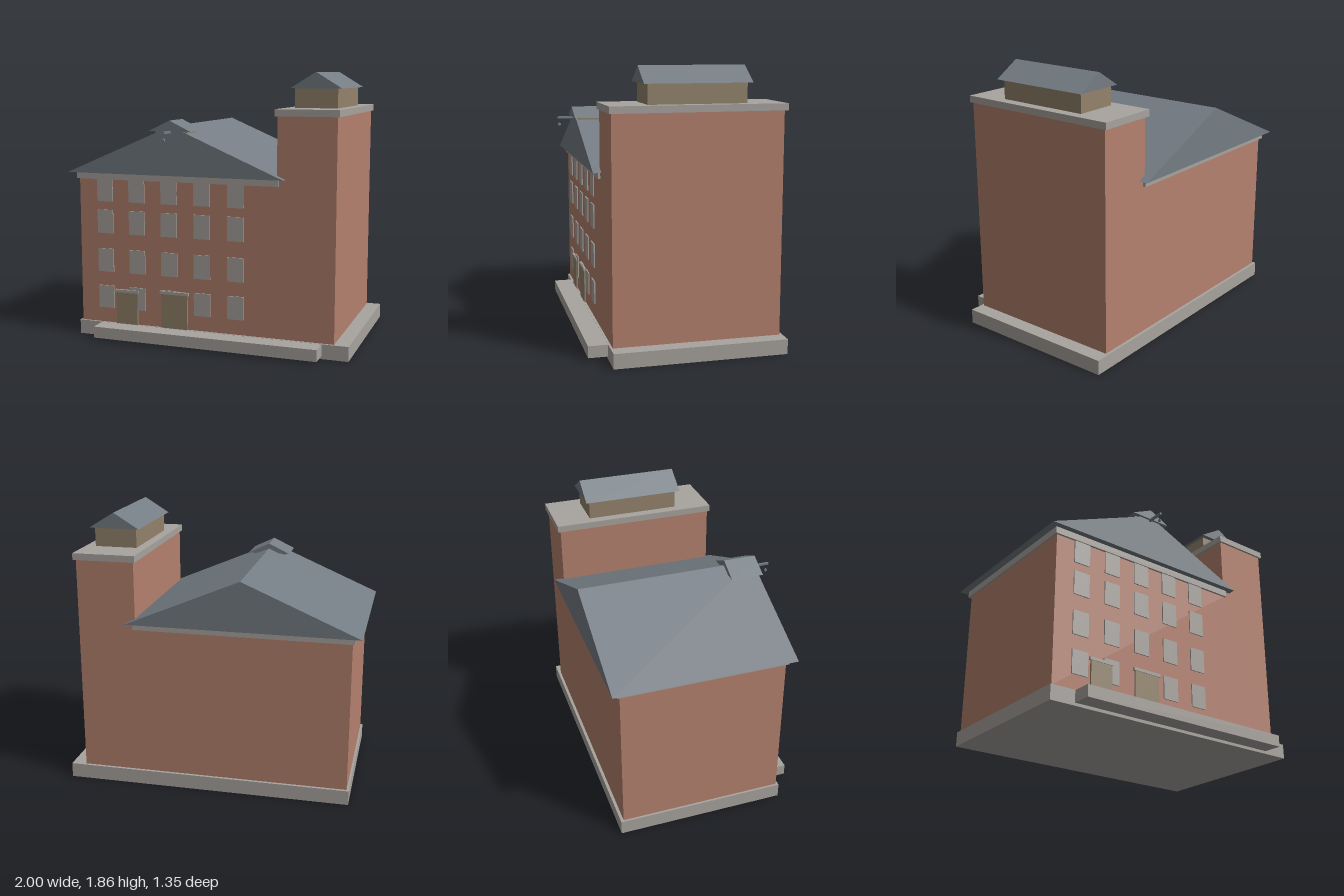
import * as THREE from 'three';

const material = (name, color) => {
  const m = new THREE.MeshStandardMaterial({ color });
  m.name = name;
  return m;
};

export function createModel() {
  const brick = material('brick', 0xb5816e);
  const stone = material('stone', 0xa8a49f);
  const slate = material('slate', 0x757d84);
  const timber = material('timber', 0x93836b);
  const group = new THREE.Group();

  const add = (name, geometry, mat, parent = group) => {
    const mesh = new THREE.Mesh(geometry, mat);
    mesh.name = name;
    parent.add(mesh);
    return mesh;
  };

  // Box given by its limits on each axis
  const box = (name, mat, x0, x1, y0, y1, z0, z1, parent) => {
    const mesh = add(name, new THREE.BoxGeometry(x1 - x0, y1 - y0, z1 - z0), mat, parent);
    mesh.position.set((x0 + x1) / 2, (y0 + y1) / 2, (z0 + z1) / 2);
    return mesh;
  };

  // Outline in x and y, drawn out from z0 to z1
  const prism = (name, mat, points, z0, z1) => {
    const shape = new THREE.Shape(points.map(([x, y]) => new THREE.Vector2(x, y)));
    const geometry = new THREE.ExtrudeGeometry(shape, { depth: z1 - z0, bevelEnabled: false });
    geometry.translate(0, 0, z0);
    return add(name, geometry, mat);
  };

  const gable = (name, x0, x1, y0, y1, z0, z1) =>
    prism(name, slate, [[x0, y0], [x1, y0], [(x0 + x1) / 2, y1]], z0, z1);

  // Plinth and front step
  box('plinth', stone, -0.95, 1, 0, 0.1, -0.635, 0.515);
  box('frontStep', stone, -0.775, 0.82, 0.02, 0.099, 0.4, 0.645);

  // Brick hall and taller tower in one stepped outline
  prism('brickWalls', brick, [
    [-0.935, 0.1], [0.9, 0.1], [0.9, 1.575], [0.505, 1.575], [0.505, 1.12], [-0.935, 1.12],
  ], -0.615, 0.5);

  // Hall cornice and gable roof
  box('hallCornice', stone, -0.95, 0.52, 1.12, 1.167, -0.635, 0.515);
  gable('hallRoof', -1, 0.563, 1.166, 1.5, -0.677, 0.555);

  // Tower cap with roof cabin
  box('towerCap', stone, 0.49, 0.915, 1.575, 1.62, -0.635, 0.515);
  box('cabinWalls', timber, 0.555, 0.845, 1.62, 1.75, -0.385, 0.26);
  gable('cabinRoof', 0.528, 0.877, 1.75, 1.857, -0.412, 0.29);

  // Hoist house on the ridge, with its beam and hook
  box('hoistWalls', timber, -0.335, -0.105, 1.4, 1.467, 0.37, 0.54);
  gable('hoistRoof', -0.37, -0.07, 1.466, 1.538, 0.345, 0.57);
  box('hoistBeam', slate, -0.227, -0.213, 1.454, 1.469, 0.5, 0.675);
  const hook = add('hoistHook', new THREE.CylinderGeometry(0.011, 0.011, 0.008, 12), slate);
  hook.rotation.z = Math.PI / 2;
  hook.position.set(-0.22, 1.413, 0.66);

  // Front windows in five columns and four rows
  const windows = new THREE.Group();
  windows.name = 'windows';
  group.add(windows);
  const rows = [[0.205, 0.365], [0.465, 0.63], [0.74, 0.905], [0.965, 1.12]];
  for (let i = 0; i < 5; i++) {
    const x = -0.74 + i * 0.2405;
    for (const [y0, y1] of rows) {
      box('window', stone, x - 0.059, x + 0.059, y0, y1, 0.499, 0.508, windows);
    }
  }

  // Doors with small stone lintels
  for (const [x0, x1, top] of [[-0.66, -0.5, 0.325], [-0.318, -0.125, 0.34]]) {
    box('door', timber, x0, x1, 0.1, top, 0.499, 0.512);
    box('doorLintel', stone, x0 - 0.01, x1 + 0.01, top, top + 0.02, 0.499, 0.516);
  }

  return group;
}
